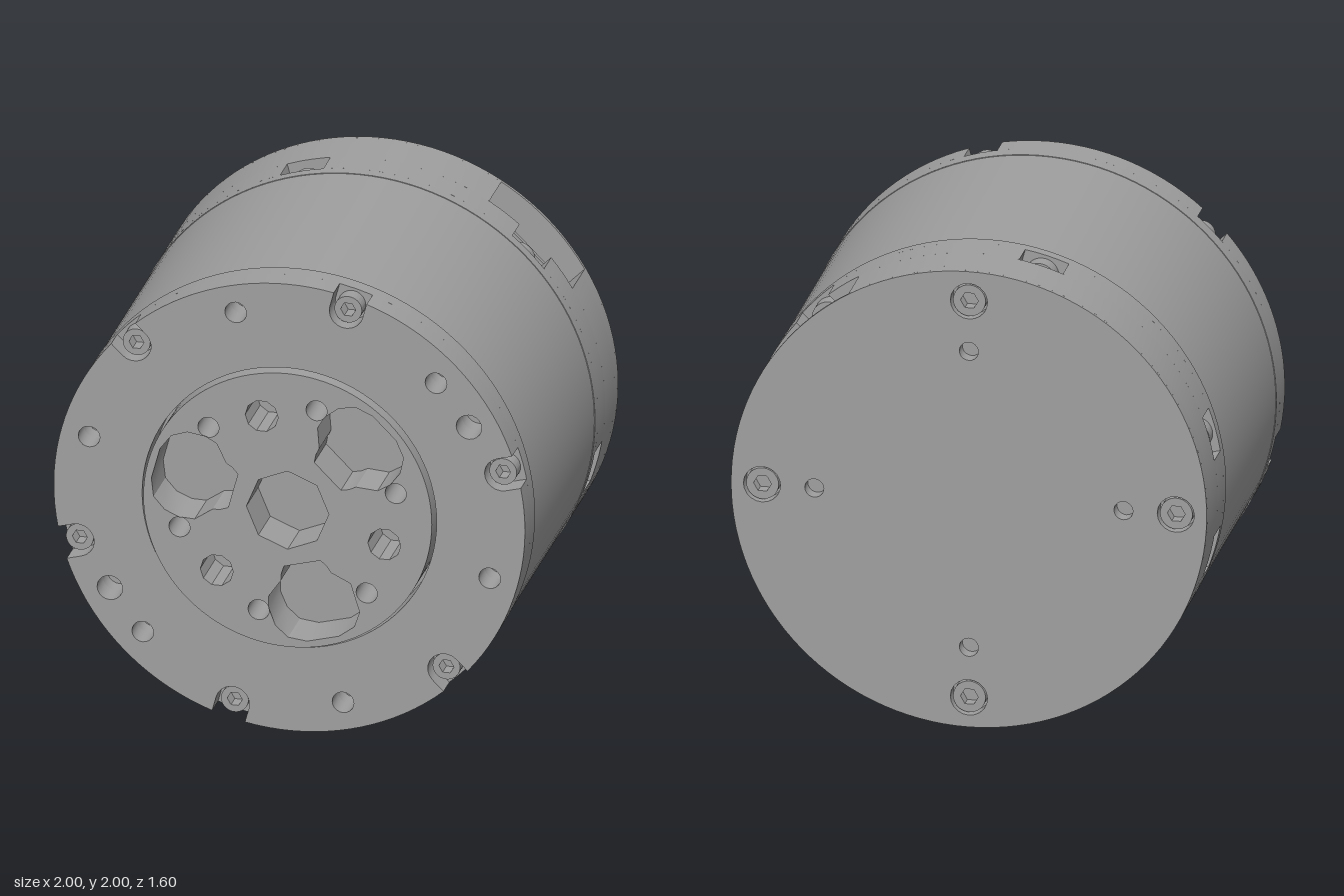
import * as THREE from 'three';
import { toCreasedNormals } from 'three/addons/utils/BufferGeometryUtils.js';

const RAD = Math.PI / 180;
const housingGray = new THREE.MeshStandardMaterial({ color: 0xa0a0a0 });
housingGray.name = 'housingGray';

// Point from local (radial, tangential) coordinates turned by an angle
const turn = (u, v, deg) => {
  const c = Math.cos(deg * RAD), s = Math.sin(deg * RAD);
  return new THREE.Vector2(u * c - v * s, u * s + v * c);
};
const every = (start, step, count) => Array.from({ length: count }, (_, i) => start + i * step);

// Round (or polygonal) hole of radius r at polar position
function hole(deg, dist, r, sides = 20) {
  const c = turn(dist, 0, deg);
  return new THREE.Path(every(0, 360 / sides, sides).map((a) => turn(r, 0, a).add(c)));
}
const holes = (angles, dist, r, sides) => angles.map((a) => hole(a, dist, r, sides));

// Disc outline with slots cut in its rim: { deg, half width w, floor radius, round }
function outline(radius, slots) {
  const pts = [];
  const sorted = [...slots].sort((a, b) => a.deg - b.deg);
  const arc = (from, to) => {
    const n = Math.max(2, Math.ceil((to - from) / 3));
    for (let i = 0; i <= n; i++) pts.push(turn(radius, 0, from + ((to - from) * i) / n));
  };
  if (!sorted.length) return new THREE.Shape(every(0, 3, 120).map((a) => turn(radius, 0, a)));
  sorted.forEach((s, i) => {
    const half = Math.asin(s.w / radius) / RAD;
    if (s.round) {
      for (let k = 0; k <= 10; k++) {
        const t = -90 - 18 * k;
        pts.push(turn(s.floor + s.w + s.w * Math.cos(t * RAD), s.w * Math.sin(t * RAD), s.deg));
      }
    } else {
      pts.push(turn(s.floor, -s.w, s.deg), turn(s.floor, s.w, s.deg));
    }
    const next = sorted[(i + 1) % sorted.length];
    const end = next.deg + (i === sorted.length - 1 ? 360 : 0) - Math.asin(next.w / radius) / RAD;
    arc(s.deg + half, end);
  });
  return new THREE.Shape(pts);
}

// Slab between two depths, smooth around its rim
function slab(name, radius, z0, z1, slots = [], cuts = []) {
  const shape = outline(radius, slots);
  shape.holes.push(...cuts);
  const raw = new THREE.ExtrudeGeometry(shape, { depth: z1 - z0, bevelEnabled: false });
  const mesh = new THREE.Mesh(toCreasedNormals(raw, 0.5), housingGray);
  mesh.name = name;
  mesh.position.z = z0;
  return mesh;
}

// Socket head screw
function screw(name, deg, dist, r, z0, z1) {
  const mesh = slab(name, r, z0, z1, [], [hole(0, 0, r * 0.55, 6)]);
  const p = turn(dist, 0, deg);
  mesh.position.set(p.x, p.y, z0);
  return mesh;
}

function box(name, deg, dist, w, h, d, z) {
  const mesh = new THREE.Mesh(new THREE.BoxGeometry(w, h, d), housingGray);
  const p = turn(dist, 0, deg);
  mesh.name = name;
  mesh.position.set(p.x, p.y, z);
  mesh.rotation.z = deg * RAD;
  return mesh;
}

export function createModel() {
  const model = new THREE.Group();
  const core = new THREE.Group();
  core.name = 'actuator';
  core.position.y = 1;
  model.add(core);

  // Main barrel
  core.add(slab('barrel', 0.997, -0.41, 0.6));

  // Front flange with threaded holes, dowel holes and rim slots
  const bolts = every(15, 60, 6);
  const flangeCuts = () => [
    hole(0, 0, 0.625, 90),
    ...holes(every(45, 60, 6), 0.88, 0.046),
    ...holes([30, 210], 0.88, 0.054),
  ];
  const rimSlots = bolts.map((deg) => ({ deg, w: 0.072, floor: 0.86, round: true }));
  core.add(slab('flangeBase', 1, 0.6, 0.67, [], flangeCuts()));
  core.add(slab('flangeFace', 1, 0.67, 0.77, rimSlots, flangeCuts()));
  bolts.forEach((a) => core.add(screw('flangeScrew', a, 0.93, 0.058, 0.67, 0.735)));

  // Output hub with centre bore, three lobed pockets and bolt circles
  const half = [[0.24, 0.08], [0.27, 0.1], [0.3, 0.11], [0.36, 0.18], [0.42, 0.195],
    [0.49, 0.185], [0.55, 0.145], [0.58, 0.07]];
  const lobe = [...half, ...half.map(([u, v]) => [u, -v]).reverse()];
  const lobes = [45, 165, 285].map((a) => new THREE.Path(lobe.map(([u, v]) => turn(u, v, a))));
  core.add(slab('outputHub', 0.612, 0.6, 0.8, [], [
    hole(0, 0, 0.175, 8),
    ...lobes,
    ...holes(bolts, 0.475, 0.045),
    ...holes([105, 225, 345], 0.425, 0.07, 10),
  ]));

  // Rear ring with screw slots opening toward the cap
  const ringBolts = [45, 105, 165, 195, 255, 285, 345];
  const port = { deg: 315, w: 0.14, floor: 0.8 };
  const ringSlots = ringBolts.map((deg) => ({ deg, w: 0.095, floor: 0.83 }));
  core.add(slab('rearRingBase', 1, -0.46, -0.41));
  core.add(slab('rearRing', 1, -0.58, -0.46, [...ringSlots, port]));
  ringBolts.forEach((a) => core.add(screw('ringScrew', a, 0.915, 0.07, -0.525, -0.46)));

  // Rear cap with connector pockets, screw recesses and small holes
  const quarters = every(0, 90, 4);
  const backCuts = () => [...holes(quarters, 0.87, 0.078), ...holes(quarters, 0.65, 0.04)];
  const socket = { deg: 45, w: 0.25, floor: 0.72 };
  core.add(slab('capFace', 1, -0.8, -0.785, [], backCuts()));
  core.add(slab('capMiddle', 1, -0.785, -0.74, [socket], backCuts()));
  core.add(slab('capBody', 1, -0.74, -0.58, [socket, port]));
  quarters.forEach((a) => core.add(screw('capScrew', a, 0.87, 0.068, -0.79, -0.74)));

  // Connector shells inside the two pockets
  [[45, 0.79, 0.36, 0.15, -0.685], [315, 0.85, 0.2, 0.15, -0.62]].forEach(([deg, dist, w, d, z]) => {
    core.add(box('connectorBase', deg, dist - 0.03, 0.08, w, d, z));
    for (const s of [-1, 1]) {
      core.add(box('connectorWall', deg, dist + 0.03, 0.1, w, 0.02, z + (s * (d - 0.02)) / 2));
      const side = box('connectorSide', deg, dist + 0.03, 0.1, 0.02, d, z);
      const off = turn(0, (s * (w - 0.02)) / 2, deg);
      side.position.x += off.x;
      side.position.y += off.y;
      core.add(side);
    }
  });

  return model;
}
